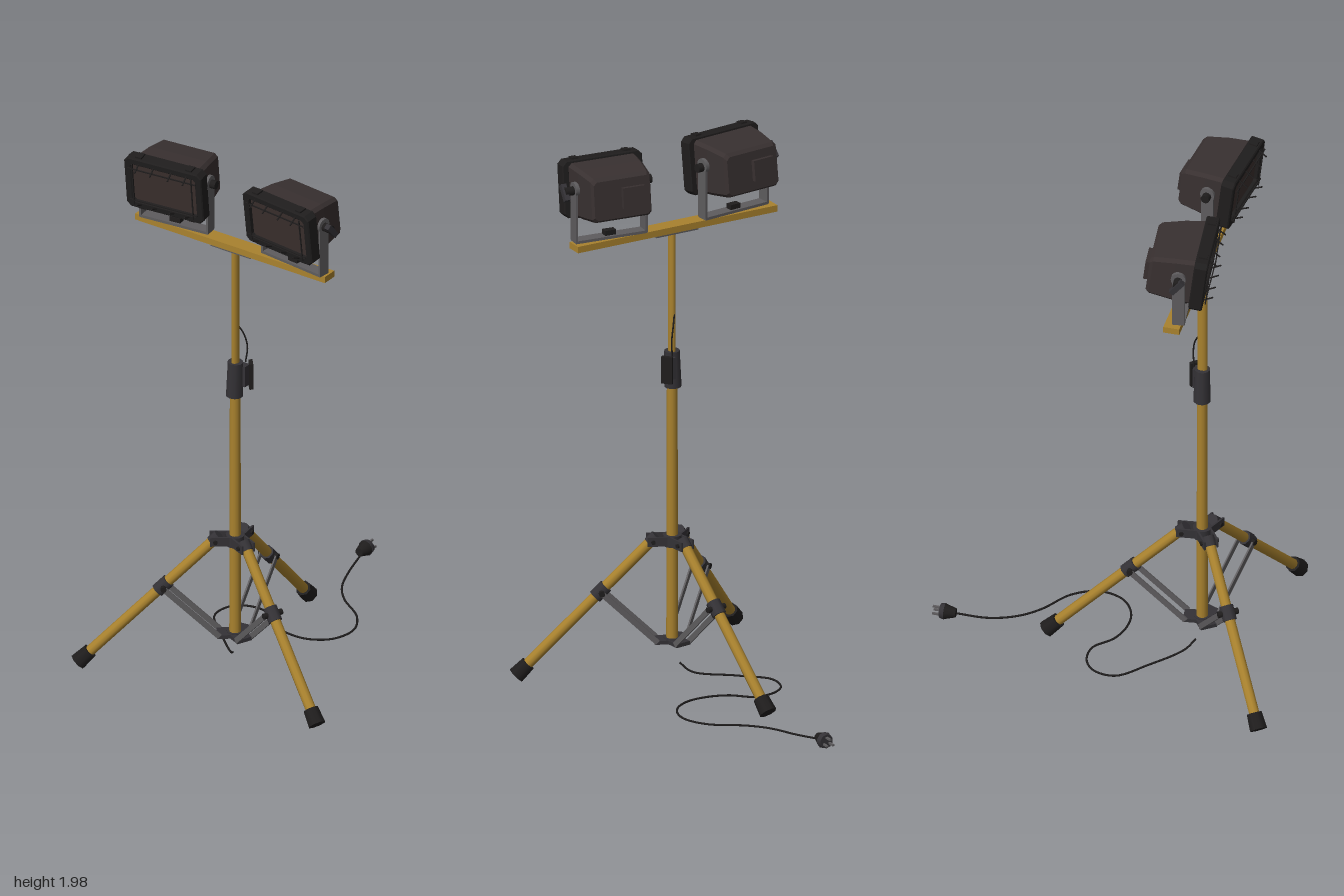
import * as THREE from 'three';

const mat = (name, color) => {
  const m = new THREE.MeshStandardMaterial({ color });
  m.name = name;
  return m;
};
const gold = mat('gold paint', 0xa9822e);
const housing = mat('dark brown housing', 0x383030);
const black = mat('black rubber', 0x1f1d1d);
const charcoal = mat('charcoal plastic', 0x343236);
const steel = mat('grey steel', 0x5e5c5e);
const glassMat = mat('dark glass', 0x3b302e);

const V = (x, y, z) => new THREE.Vector3(x, y, z);

function add(parent, name, geo, material, x = 0, y = 0, z = 0) {
  const m = new THREE.Mesh(geo, material);
  m.name = name;
  m.position.set(x, y, z);
  parent.add(m);
  return m;
}
const box = (p, name, material, w, h, d, x, y, z) =>
  add(p, name, new THREE.BoxGeometry(w, h, d), material, x, y, z);

// Round bar between two points
function rod(parent, name, material, a, b, r0, r1 = r0, sides = 10) {
  const d = b.clone().sub(a);
  const m = add(parent, name, new THREE.CylinderGeometry(r1, r0, d.length(), sides), material);
  m.position.copy(a).addScaledVector(d, 0.5);
  m.quaternion.setFromUnitVectors(V(0, 1, 0), d.normalize());
  return m;
}

function cable(parent, name, points, r, segments) {
  const curve = new THREE.CatmullRomCurve3(points.map(p => V(...p)));
  return add(parent, name, new THREE.TubeGeometry(curve, segments, r, 5), black);
}

function chamferedRect(w, h, c) {
  const x = w / 2, y = h / 2;
  return [[x, -y + c], [x, y - c], [x - c, y], [-x + c, y],
    [-x, y - c], [-x, -y + c], [-x + c, -y], [x - c, -y]];
}

// Faceted solid through sections [width, height, chamfer, yOffset, z], back to front
function loft(sections) {
  const rings = sections.map(([w, h, c, dy, z]) =>
    chamferedRect(w, h, c).map(([x, y]) => [x, y + dy, z]));
  const pos = [], n = 8;
  const tri = (a, b, c) => pos.push(...a, ...b, ...c);
  for (let k = 0; k + 1 < rings.length; k++) {
    for (let i = 0; i < n; i++) {
      const j = (i + 1) % n, a = rings[k], b = rings[k + 1];
      tri(a[i], a[j], b[j]);
      tri(a[i], b[j], b[i]);
    }
  }
  const first = rings[0], last = rings[rings.length - 1];
  for (let i = 1; i < n - 1; i++) {
    tri(first[0], first[i + 1], first[i]);
    tri(last[0], last[i], last[i + 1]);
  }
  const g = new THREE.BufferGeometry();
  g.setAttribute('position', new THREE.Float32BufferAttribute(pos, 3));
  g.computeVertexNormals();
  return g;
}

// Floodlight on its yoke; origin at the tilt pivot, side = outward direction
function makeLamp(side) {
  const lamp = new THREE.Group();
  lamp.name = side < 0 ? 'rightLamp' : 'leftLamp';
  const head = new THREE.Group();
  head.name = 'lampHead';
  head.rotation.x = 0.12;
  lamp.add(head);
  add(head, 'lampHousing', loft([
    [0.215, 0.14, 0.012, -0.016, -0.112], [0.228, 0.16, 0.012, -0.014, -0.1],
    [0.25, 0.18, 0.012, -0.006, -0.02], [0.262, 0.19, 0.012, 0, 0.055]]), housing);
  box(head, 'junctionBox', housing, 0.085, 0.075, 0.02, -0.04, -0.015, -0.118);

  // Bezel with opening, glass and wire guard
  const outline = new THREE.Shape(chamferedRect(0.3, 0.2, 0.014).map(p => new THREE.Vector2(...p)));
  outline.holes.push(new THREE.Path(chamferedRect(0.262, 0.162, 0.01).reverse().map(p => new THREE.Vector2(...p))));
  add(head, 'bezel', new THREE.ExtrudeGeometry(outline, {
    depth: 0.04, bevelEnabled: true, bevelSize: 0.004, bevelThickness: 0.004, bevelSegments: 1 }), black, 0, 0, 0.052);
  box(head, 'glass', glassMat, 0.268, 0.168, 0.006, 0, 0, 0.078);
  for (const s of [-1, 1]) {
    box(head, 'guardRail', black, 0.27, 0.004, 0.004, 0, s * 0.066, 0.104);
    box(head, 'guardPost', black, 0.004, 0.17, 0.004, s * 0.118, 0, 0.104);
    for (const x of [-0.095, -0.035, 0.035, 0.095])
      rod(head, 'guardHook', black, V(x, s * 0.09, 0.09), V(x, s * 0.068, 0.126), 0.003, 0.003, 5);
    for (const x of [-0.1, 0.1])
      box(head, 'bezelLatch', black, 0.025, 0.01, 0.03, x, s * 0.105, 0.072);
  }

  // U-shaped yoke, pivot knobs and mounting bolt
  box(lamp, 'yokeBase', steel, 0.274, 0.01, 0.045, 0, -0.181, 0);
  for (const s of [-1, 1]) {
    const outer = s === side;
    box(lamp, 'yokeArm', steel, 0.009, 0.2, 0.045, s * 0.134, -0.082, 0);
    rod(lamp, 'yokeEye', steel, V(s * 0.12, 0.012, 0), V(s * 0.1385, 0.012, 0), 0.027, 0.027, 12);
    rod(lamp, 'pivotKnob', black, V(s * 0.138, 0.008, 0), V(s * (outer ? 0.172 : 0.16), 0.008, 0), 0.016);
    if (outer) {
      const grip = box(lamp, 'knobGrip', charcoal, 0.02, 0.062, 0.02, s * 0.17, 0.004, 0);
      grip.rotation.x = 0.7;
    }
  }
  box(lamp, 'mountBolt', black, 0.042, 0.018, 0.026, 0, -0.167, 0);
  return lamp;
}

// Tripod leg in a frame where +x points away from the pole
function makeLeg(dx, dz) {
  const leg = new THREE.Group();
  leg.name = 'tripodLeg';
  leg.rotation.y = -Math.atan2(dz, dx);
  const top = V(0.065, 0.517, 0), foot = V(0.535, 0.042, 0);
  const at = t => top.clone().lerp(foot, t);
  rod(leg, 'legTube', gold, top, foot, 0.019);
  rod(leg, 'footCap', black, at(0.945), at(1.035), 0.028, 0.032, 8);
  rod(leg, 'legTopCap', charcoal, at(-0.02), at(0.035), 0.022);
  for (const s of [-1, 1]) {
    box(leg, 'hubLug', charcoal, 0.075, 0.034, 0.007, 0.052, 0.512, s * 0.024);
    // Flat brace from the leg collar to the lower spreader
    const a = V(0.252, 0.328, s * 0.031), b = V(0.055, 0.137, s * 0.031);
    const d = b.clone().sub(a);
    const brace = box(leg, 'brace', steel, d.length(), 0.02, 0.006, 0, 0, 0);
    brace.position.copy(a).addScaledVector(d, 0.5);
    brace.rotation.z = Math.atan2(d.y, d.x);
  }
  rod(leg, 'hubPin', black, V(0.07, 0.512, -0.034), V(0.07, 0.512, 0.034), 0.008, 0.008, 8);
  rod(leg, 'legCollar', charcoal, at(0.36), at(0.44), 0.026, 0.026, 8);
  rod(leg, 'collarPin', black, V(0.252, 0.328, -0.038), V(0.252, 0.328, 0.038), 0.011, 0.011, 8);
  box(leg, 'spreaderArm', charcoal, 0.06, 0.014, 0.06, 0.035, 0.135, 0);
  return leg;
}

export function createModel() {
  const model = new THREE.Group();
  model.name = 'workLightTripod';

  // Stand, with the pole as its axis
  const stand = new THREE.Group();
  stand.name = 'stand';
  stand.position.set(-0.03, 0, 0.307);
  model.add(stand);
  rod(stand, 'lowerPole', gold, V(0, 0.125, 0), V(0, 1.1, 0), 0.021, 0.019, 12);
  const upper = rod(stand, 'upperPole', gold, V(0.002, 1.08, 0), V(0.002, 1.675, 0), 0.018, 0.018, 12);
  upper.scale.x = 0.68;
  rod(stand, 'topHub', charcoal, V(0, 0.49, 0), V(0, 0.53, 0), 0.034, 0.034, 12);
  rod(stand, 'spreaderHub', charcoal, V(0, 0.125, 0), V(0, 0.145, 0), 0.03, 0.03, 12);
  for (const [dx, dz] of [[-0.43, 0.312], [0.485, 0.212], [-0.065, -0.525]]) stand.add(makeLeg(dx, dz));

  // Height clamp with lever
  rod(stand, 'heightClamp', charcoal, V(-0.003, 1.085, 0), V(0.001, 1.22, 0), 0.031, 0.028, 10);
  box(stand, 'clampBlock', charcoal, 0.03, 0.08, 0.03, 0.022, 1.165, -0.022);
  const lever = box(stand, 'clampLever', black, 0.014, 0.1, 0.04, 0.042, 1.165, -0.036);
  lever.rotation.y = 0.7;

  // Crossbar and lamps
  box(model, 'crossbar', gold, 0.812, 0.024, 0.058, -0.034, 1.683, 0.304);
  box(model, 'crossbarPlate', steel, 0.17, 0.008, 0.05, -0.035, 1.668, 0.304);
  for (const [x, side] of [[-0.28, -1], [0.226, 1]]) {
    const lamp = makeLamp(side);
    lamp.position.set(x, 1.881, 0.308);
    lamp.rotation.y = -side * 0.11;
    model.add(lamp);
  }

  // Power cable on the floor and short loop above the clamp
  cable(model, 'powerCable', [[-0.05, 0.05, 0.29], [-0.08, 0.02, 0.26], [-0.2, 0.016, 0.155],
    [-0.29, 0.016, 0.06], [-0.28, 0.016, -0.02], [-0.226, 0.016, -0.06], [-0.15, 0.016, -0.06],
    [-0.08, 0.016, 0], [0, 0.016, 0.026], [0.08, 0.016, 0.02], [0.15, 0.016, -0.03],
    [0.174, 0.016, -0.12], [0.13, 0.016, -0.21], [0.02, 0.016, -0.29], [-0.04, 0.016, -0.36],
    [-0.08, 0.018, -0.455], [-0.105, 0.035, -0.575]], 0.004, 90);
  cable(model, 'cableLoop', [[-0.01, 1.21, 0.272], [-0.005, 1.27, 0.268],
    [-0.015, 1.32, 0.275], [-0.03, 1.36, 0.292]], 0.003, 12);

  // Plug lying at the end of the cable
  const plug = new THREE.Group();
  plug.name = 'plug';
  plug.position.set(-0.11, 0.04, -0.6);
  model.add(plug);
  rod(plug, 'plugGrip', black, V(0, 0, 0.035), V(0, 0, -0.005), 0.016, 0.028);
  rod(plug, 'plugFace', charcoal, V(0, 0, -0.005), V(0, 0, -0.022), 0.03, 0.026);
  for (const [x, y] of [[-0.012, -0.008], [0.012, -0.008], [0, 0.014]])
    box(plug, 'plugProng', steel, 0.007, 0.007, 0.03, x, y, -0.034);

  return model;
}
